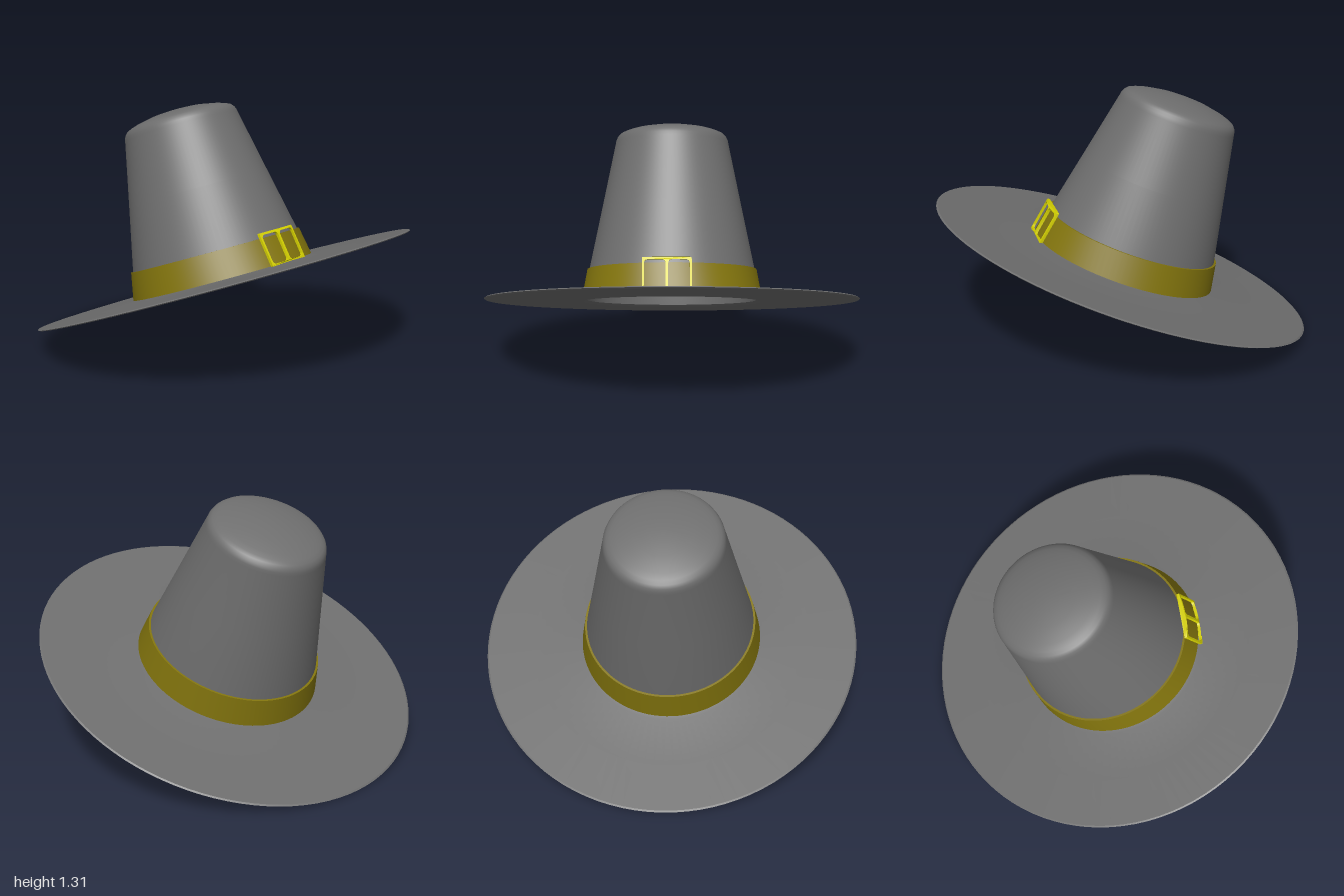
import * as THREE from 'three';
import { toCreasedNormals } from 'three/addons/utils/BufferGeometryUtils.js';

const STRETCH = 1.046; // the hat is slightly longer along x than along z
const TILT = 0.356;

// Oval solid of revolution from [radius, height] points
function ovalLathe(points) {
  const geo = new THREE.LatheGeometry(points.map(([r, y]) => new THREE.Vector2(r, y)), 96);
  geo.scale(STRETCH, 1, 1);
  return toCreasedNormals(geo, 0.45);
}

function mesh(name, geometry, color) {
  const m = new THREE.Mesh(geometry, new THREE.MeshStandardMaterial({ color }));
  m.name = name;
  return m;
}

const bandRadius = (y) => 0.484 - 0.18 * y;

// Rounded rectangle, with its long sides subdivided so that it can bend
function roundedRect(target, x, y, w, h, r) {
  const corners = [[x + w - r, y + r, -90], [x + w - r, y + h - r, 0], [x + r, y + h - r, 90], [x + r, y + r, 180]];
  const pts = [];
  corners.forEach(([cx, cy, start], i) => {
    for (let k = 0; k <= 4; k++) {
      const a = THREE.MathUtils.degToRad(start + k * 22.5);
      pts.push(new THREE.Vector2(cx + r * Math.cos(a), cy + r * Math.sin(a)));
    }
    if (i === 1 || i === 3) {
      const from = pts[pts.length - 1];
      const span = (i === 1 ? -1 : 1) * (w - 2 * r);
      for (let k = 1; k < 6; k++) pts.push(new THREE.Vector2(from.x + span * k / 6, from.y));
    }
  });
  return target.setFromPoints(pts);
}

// Double-window buckle, gently bent along the band
function buckleGeometry() {
  const shape = roundedRect(new THREE.Shape(), -0.15, 0.01, 0.25, 0.18, 0.004);
  for (const x of [-0.14, -0.018]) {
    shape.holes.push(roundedRect(new THREE.Path(), x, 0.022, 0.108, 0.156, 0.018));
  }
  const geo = new THREE.ExtrudeGeometry(shape, { depth: 0.014, bevelEnabled: false });
  geo.rotateY(Math.PI / 2);
  const p = geo.attributes.position;
  for (let i = 0; i < p.count; i++) {
    const z = p.getZ(i);
    p.setX(i, p.getX(i) + 0.002 + STRETCH * bandRadius(p.getY(i)) - 0.7 * z * z);
  }
  return toCreasedNormals(geo, 0.6);
}

export function createModel() {
  const hat = new THREE.Group();
  hat.name = 'hat';

  // Hollow crown and thin brim: inside, lip, underside, top side, outside
  const felt = ovalLathe([
    [0, 0.93], [0.07, 0.927], [0.15, 0.918], [0.23, 0.9], [0.262, 0.888], [0.276, 0.877], [0.285, 0.86],
    [0.36, 0.5], [0.437, 0.07], [0.453, 0], [0.475, -0.009], [0.49, -0.011],
    [0.75, -0.008], [0.992, -0.005], [1, 0], [0.992, 0.005], [0.75, 0.008], [0.5, 0.012],
    [0.474, 0.016], [0.465, 0.04], [0.444, 0.163], [0.376, 0.497],
    [0.306, 0.845], [0.303, 0.862], [0.296, 0.878], [0.283, 0.893], [0.262, 0.903],
    [0.23, 0.914], [0.15, 0.932], [0.07, 0.941], [0, 0.944],
  ]);
  hat.add(mesh('crownAndBrim', felt, 0x6e6e6e));

  // Closed ring around the foot of the crown
  const lo = 0.01, hi = 0.163;
  const band = ovalLathe([
    [0.44, hi], [0.46, lo], [bandRadius(lo), lo], [bandRadius(hi), hi], [0.44, hi],
  ]);
  hat.add(mesh('hatBand', band, 0x82740d));

  hat.add(mesh('buckle', buckleGeometry(), 0xd4d000));

  hat.rotation.z = TILT;
  hat.position.y = 0.366;
  const model = new THREE.Group();
  model.name = 'tiltedHat';
  model.add(hat);
  return model;
}
